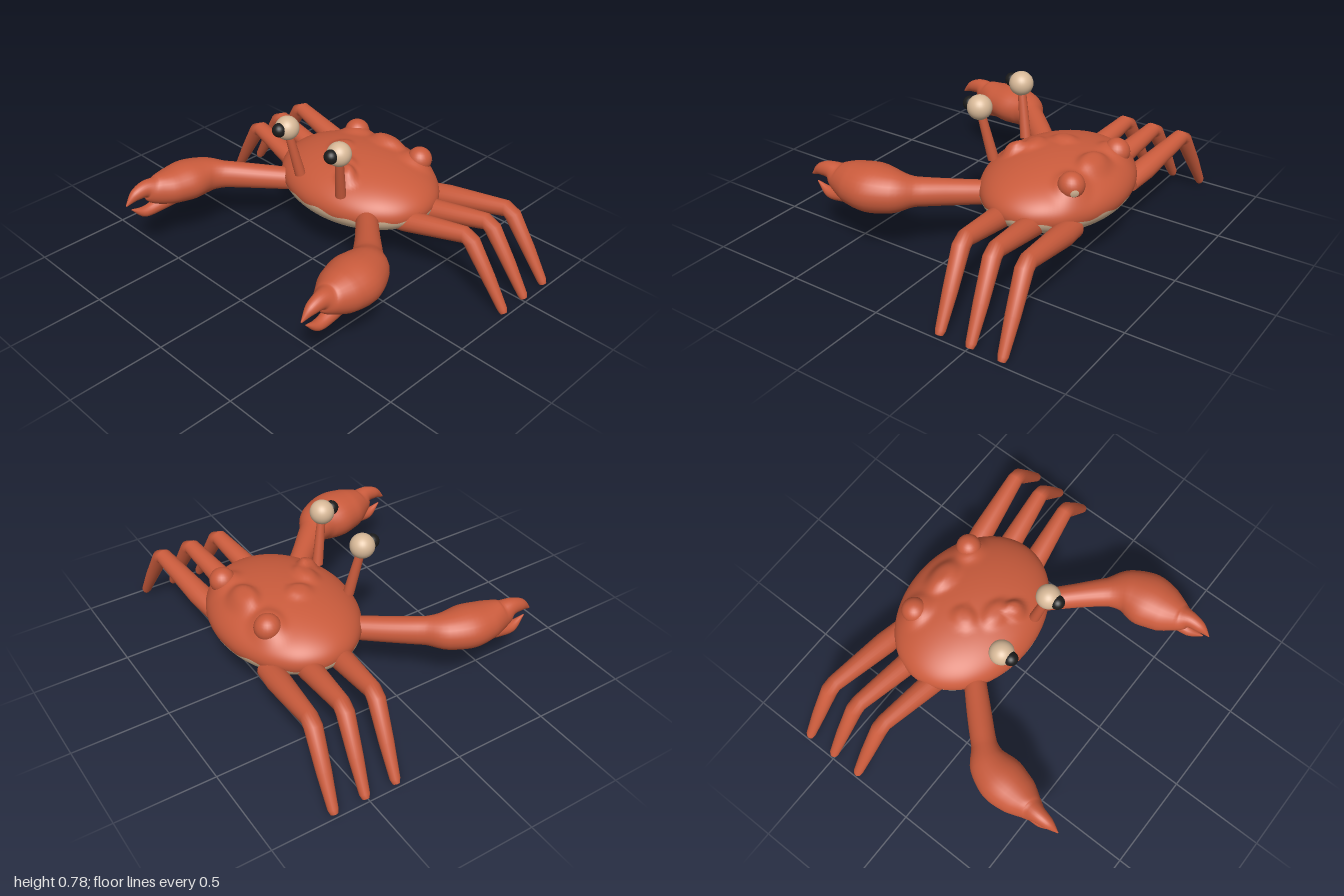
import * as THREE from 'three';

const flat = (name, color) => {
  const m = new THREE.MeshStandardMaterial({ color });
  m.name = name;
  return m;
};

// Skin between rings of points that run counter-clockwise around the direction of travel
function skin(rings) {
  const n = rings[0].length, pos = [], index = [];
  rings.forEach(r => r.forEach(p => pos.push(p.x, p.y, p.z)));
  for (let i = 0; i < rings.length - 1; i++) {
    for (let j = 0; j < n; j++) {
      const a = i * n + j, b = i * n + (j + 1) % n;
      index.push(a, b, a + n, b, b + n, a + n);
    }
  }
  const g = new THREE.BufferGeometry();
  g.setAttribute('position', new THREE.Float32BufferAttribute(pos, 3));
  g.setIndex(index);
  g.computeVertexNormals();
  return g;
}

// Capped limb through rows of [x, y, z, half width, half height]
function limb(rows, side = 1, smooth = 1, sides = 20) {
  const centre = rows.map(r => new THREE.Vector3(r[0] * side, r[1], r[2]));
  const radii = rows.map(r => new THREE.Vector3(r[3], r[4] ?? r[3], 0));
  const pathPoints = [], sizes = [];
  const pathCurve = new THREE.CatmullRomCurve3(centre);
  const sizeCurve = new THREE.CatmullRomCurve3(radii);
  const count = (rows.length - 1) * smooth;
  for (let i = 0; i <= count; i++) {
    pathPoints.push(pathCurve.getPoint(i / count));
    sizes.push(sizeCurve.getPoint(i / count));
  }
  const rings = pathPoints.map((p, i) => {
    const before = pathPoints[Math.max(i - 1, 0)], after = pathPoints[Math.min(i + 1, count)];
    const t = after.clone().sub(before).normalize();
    const u = t.clone().cross(new THREE.Vector3(0, 1, 0)).normalize();
    const v = u.clone().cross(t);
    return Array.from({ length: sides }, (_, j) => {
      const a = -j / sides * Math.PI * 2;
      return p.clone().addScaledVector(u, Math.cos(a) * Math.max(sizes[i].x, 0.002))
        .addScaledVector(v, Math.sin(a) * Math.max(sizes[i].y, 0.002));
    });
  });
  const cap = p => Array.from({ length: sides }, () => p.clone());
  return skin([cap(pathPoints[0]), rings[0].map(p => p.clone()), ...rings,
    rings[count].map(p => p.clone()), cap(pathPoints[count])]);
}

// Soft swellings on the shell: x, z, radius x, radius z, height
const swellings = [
  [0.02, -0.545, 0.095, 0.06, 0.04],
  [0.02, -0.2, 0.075, 0.05, 0.025],
  [0.1, -0.14, 0.045, 0.045, 0.045],
  [-0.1, -0.31, 0.05, 0.06, 0.02],
  [0.225, -0.545, 0.08, 0.07, 0.03],
  [-0.2, -0.54, 0.08, 0.07, 0.03],
];

// Half of the body, split along a scalloped seam
function bodyHalf(upper) {
  const around = 120, steps = 36, rings = [];
  for (let i = 0; i <= steps; i++) {
    rings.push(Array.from({ length: around }, (_, j) => {
      const phi = j / around * Math.PI * 2;
      const back = Math.max(0, -Math.cos(phi));
      const seamY = -0.014 - 0.014 * back + 0.008 * Math.sin(phi * 16) + 0.005 * Math.sin(phi * 7 + 1);
      const seam = Math.asin(seamY / 0.175);
      const psi = upper ? THREE.MathUtils.lerp(seam, Math.PI / 2, i / steps)
        : THREE.MathUtils.lerp(-Math.PI / 2, seam, i / steps);
      const x = 0.46 * Math.cos(psi) * Math.sin(phi);
      const z = -0.345 + 0.355 * Math.cos(psi) * Math.cos(phi);
      let y = 0.355 + 0.175 * Math.sin(psi);
      if (psi > 0) {
        for (const [sx, sz, rx, rz, h] of swellings) {
          const d = ((x - sx) / rx) ** 2 + ((z - sz) / rz) ** 2;
          y += h * Math.exp(-d * d * 0.8);
        }
      }
      return new THREE.Vector3(x, y, z);
    }));
  }
  return skin(rings);
}

export function createModel() {
  const model = new THREE.Group();
  const red = flat('shell red', 0xca5b3c);
  const cream = flat('belly and eye cream', 0xd8b998);
  const black = flat('pupil black', 0x1c1c1c);

  const add = (name, geometry, material, x = 0, y = 0, z = 0) => {
    const mesh = new THREE.Mesh(geometry, material);
    mesh.name = name;
    mesh.position.set(x, y, z);
    model.add(mesh);
    return mesh;
  };

  // Body
  add('shell', bodyHalf(true), red);
  add('belly', bodyHalf(false), cream);

  // Round knobs at the back of the shell, one with a pale fleck
  add('leftKnob', new THREE.SphereGeometry(0.065, 24, 16), red, 0.232, 0.485, -0.55);
  add('rightKnob', new THREE.SphereGeometry(0.067, 24, 16), red, -0.208, 0.478, -0.545);
  const fleck = add('knobFleck', new THREE.SphereGeometry(0.067, 10, 4, 0, Math.PI * 2, 0, 0.32), cream, 0.232, 0.485, -0.55);
  fleck.quaternion.setFromUnitVectors(new THREE.Vector3(0, 1, 0), new THREE.Vector3(0.044, -0.013, -0.045).normalize());

  for (const [side, label] of [[1, 'left'], [-1, 'right']]) {
    // Eyes on stalks
    add(label + 'EyeStalk', limb([[0.145, 0.445, -0.053, 0.028], [0.178, 0.69, -0.005, 0.021]], side), red);
    add(label + 'Eye', new THREE.SphereGeometry(0.062, 32, 20), cream, side * 0.181, 0.72, 0);
    add(label + 'Pupil', new THREE.SphereGeometry(0.036, 24, 16), black, side * 0.181, 0.728, 0.055);

    // Arm, claw palm and upper finger; the left claw is the bigger one
    const k = side > 0 ? 1 : 0.85;
    add(label + 'Claw', limb([
      [0.27, 0.333, -0.115, 0.056, 0.06],
      [0.4, 0.35, 0.02, 0.062, 0.066],
      [0.515, 0.365, 0.145, 0.076 * k, 0.073],
      [0.575, 0.371, 0.225, 0.118 * k, 0.106 * k],
      [0.603, 0.373, 0.33, 0.144 * k, 0.118 * k],
      [0.615, 0.375, 0.44, 0.122 * k, 0.106 * k],
      [0.626, 0.388, 0.525, 0.074 * k, 0.074],
      [0.633, 0.408, 0.57, 0.043, 0.046],
      [0.636, 0.396, 0.635, 0.029, 0.032],
      [0.637, 0.355, 0.695, 0.003, 0.004],
    ], side, 5, 28), red);
    add(label + 'LowerFinger', limb([
      [0.615, 0.315, 0.42, 0.05],
      [0.628, 0.286, 0.52, 0.036],
      [0.633, 0.28, 0.59, 0.029],
      [0.635, 0.322, 0.665, 0.003],
    ], side, 5), red);

    // Three walking legs, each with a sharp knee and a blunt foot
    for (let i = 0; i < 3; i++) {
      const z = -0.675 + i * 0.165;
      add(label + 'Leg' + (i + 1), limb([
        [0.27, 0.29, z + 0.088, 0.055, 0.05],
        [0.4, 0.312, z + 0.072, 0.06, 0.056],
        [0.735, 0.372, z + 0.032, 0.042],
        [0.772, 0.35, z + 0.028, 0.043, 0.041],
        [0.88, 0.18, z + 0.012, 0.036, 0.033],
        [0.97, 0.033, z, 0.025, 0.024],
        [0.981, 0.014, z, 0.018, 0.018],
      ], side), red);
    }
  }
  return model;
}
